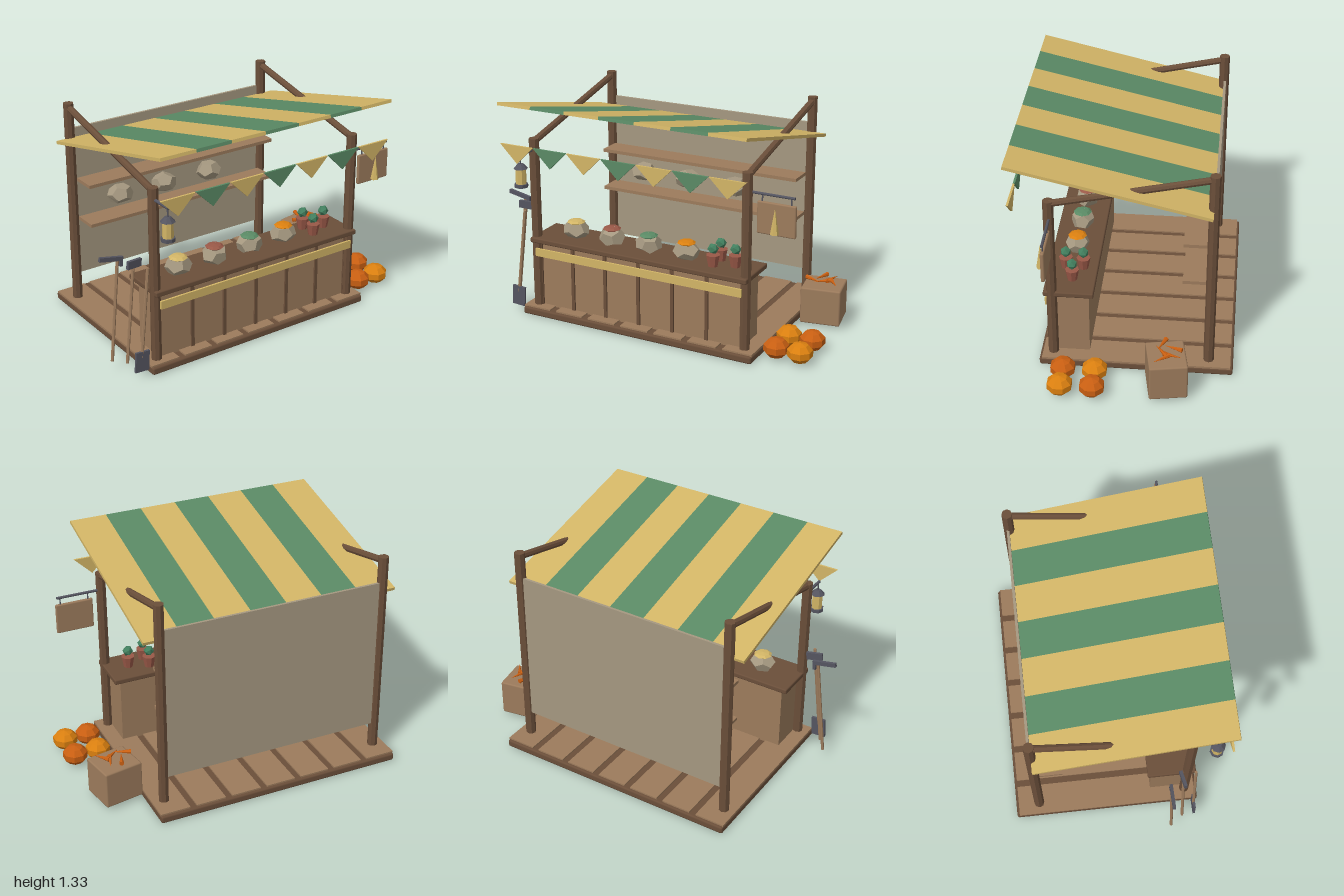
import * as THREE from 'three';
import { RoundedBoxGeometry } from 'three/addons/geometries/RoundedBoxGeometry.js';

export function createModel() {
  const model = new THREE.Group();
  model.name = 'marketStall';

  const paint = (name, color) => {
    const m = new THREE.MeshStandardMaterial({ color });
    m.name = name;
    return m;
  };
  const darkWood = paint('dark wood', 0x6b4f3a);
  const plankWood = paint('plank wood', 0x9c7b5c);
  const canvas = paint('canvas', 0xa59880);
  const yellow = paint('yellow cloth', 0xd2b566);
  const green = paint('green cloth', 0x5a8a65);
  const iron = paint('iron', 0x555560);
  const orange = paint('orange', 0xdb8010);
  const rust = paint('deep orange', 0xc95f12);
  const clay = paint('terracotta', 0x995847);
  const leaf = paint('leaf green', 0x43805f);

  // Helpers
  const add = (name, geo, mat, x = 0, y = 0, z = 0) => {
    const m = new THREE.Mesh(geo, mat);
    m.name = name;
    m.position.set(x, y, z);
    model.add(m);
    return m;
  };
  const box = (name, mat, w, h, d, x, y, z) => add(name, new THREE.BoxGeometry(w, h, d), mat, x, y, z);
  const roundBox = (name, mat, w, h, d, r, x, y, z) =>
    add(name, new RoundedBoxGeometry(w, h, d, 1, r), mat, x, y, z);
  const flat = (geo) => {
    const g = geo.index ? geo.toNonIndexed() : geo;
    g.computeVertexNormals();
    return g;
  };
  const rod = (name, mat, r, a, b, sides = 8, rTop = r) => {
    const p = new THREE.Vector3(...a), q = new THREE.Vector3(...b);
    const dir = q.clone().sub(p);
    const m = add(name, flat(new THREE.CylinderGeometry(rTop, r, dir.length(), sides)), mat);
    m.position.copy(p).add(q).multiplyScalar(0.5);
    m.quaternion.setFromUnitVectors(new THREE.Vector3(0, 1, 0), dir.normalize());
    return m;
  };

  const CX = -0.056;     // middle of the stall
  const PITCH = 0.2182;  // spacing of planks, stripes and flags

  // Floor
  roundBox('base', darkWood, 1.49, 0.045, 1.1, 0.012, CX, 0.0225, -0.07);
  for (let i = -3; i <= 3; i++)
    box('floorPlank', plankWood, 0.178, 0.012, 1.07, CX + i * PITCH, 0.048, -0.07);

  // Posts and rafters
  for (const x of [-0.732, 0.618]) {
    rod('backPost', darkWood, 0.03, [x, 0.03, -0.48], [x, 1.285, -0.48]);
    rod('frontPost', darkWood, 0.03, [x, 0.03, 0.405], [x, 1.08, 0.405]);
    rod('rafter', darkWood, 0.02, [x, 1.06, 0.405], [x, 1.26, -0.48]);
  }

  // Back cloth and shelves
  box('backCloth', canvas, 1.31, 0.92, 0.015, CX, 0.67, -0.486);
  for (const y of [0.57, 0.815])
    box('shelf', plankWood, 1.3, 0.02, 0.145, CX, y, -0.393);

  // Striped awning and hanging flags
  const flagShape = new THREE.Shape([
    new THREE.Vector2(-0.107, 0), new THREE.Vector2(0, -0.105), new THREE.Vector2(0.107, 0)]);
  const flagGeo = new THREE.ExtrudeGeometry(flagShape, { depth: 0.012, bevelEnabled: false });
  for (let i = -3; i <= 3; i++) {
    const cloth = i % 2 ? yellow : green;
    const x = CX + i * PITCH;
    box('awningStripe', cloth, PITCH, 0.018, 1.13, x, 1.195, 0.073).rotation.x = -0.231;
    add('flag', flagGeo, cloth, x, 1.092, 0.601);
  }

  // Counter
  box('counterBody', plankWood, 1.31, 0.41, 0.2, CX, 0.25, 0.3);
  for (let i = -3; i <= 3; i++)
    box('counterBatten', darkWood, 0.02, 0.4, 0.012, CX + i * PITCH, 0.25, 0.404);
  roundBox('counterTop', darkWood, 1.395, 0.032, 0.282, 0.008, CX, 0.469, 0.311);
  box('counterBand', yellow, 1.33, 0.048, 0.012, CX, 0.396, 0.441);

  // Sacks: faceted lumps with a flat base
  const sackGeo = (turn) => {
    const g = new THREE.DodecahedronGeometry(0.082, 0);
    g.rotateX(0.5 + turn).rotateY(turn * 2.3).scale(1, 0.8, 0.85);
    const p = g.attributes.position;
    for (let i = 0; i < p.count; i++) p.setY(i, Math.max(p.getY(i), -0.045));
    return flat(g);
  };
  [-0.46, -0.155, 0.17].forEach((x, i) =>
    add('shelfSack', sackGeo(i * 0.9 + 0.3), canvas, x, 0.686, -0.4));
  const lidGeo = flat(new THREE.SphereGeometry(0.054, 8, 4).scale(1, 0.28, 1));
  [yellow, clay, green, orange].forEach((mat, i) => {
    const x = -0.52 + i * 0.242;
    add('counterSack', sackGeo(i * 0.7 + 0.2), canvas, x, 0.526, 0.31);
    add('sackFilling', lidGeo, mat, x, 0.576, 0.31);
  });

  // Potted plants
  for (const [x, z] of [[0.393, 0.353], [0.393, 0.253], [0.507, 0.303]]) {
    rod('plantPot', clay, 0.027, [x, 0.483, z], [x, 0.553, z], 8, 0.04);
    add('plant', new THREE.IcosahedronGeometry(0.032, 0), leaf, x, 0.588, z);
  }

  // Lantern on a bracket
  const lx = -0.733, lz = 0.546;
  rod('lanternArm', iron, 0.009, [lx, 1.015, 0.4], [lx, 1.015, 0.555]);
  rod('lanternHook', iron, 0.004, [lx, 1.015, lz], [lx, 0.96, lz], 6);
  rod('lanternRoof', iron, 0.042, [lx, 0.938, lz], [lx, 0.965, lz], 8, 0.018);
  rod('lanternGlass', yellow, 0.031, [lx, 0.848, lz], [lx, 0.938, lz]);
  rod('lanternBase', iron, 0.04, [lx, 0.828, lz], [lx, 0.848, lz]);

  // Hanging sign
  rod('signArm', iron, 0.008, [0.63, 0.972, 0.4], [0.89, 0.972, 0.4]);
  for (const x of [0.703, 0.87])
    rod('signHanger', iron, 0.004, [x, 0.972, 0.4], [x, 0.92, 0.4], 6);
  roundBox('signBoard', plankWood, 0.225, 0.182, 0.022, 0.008, 0.788, 0.84, 0.4);
  rod('signCone', yellow, 0.024, [0.788, 0.765, 0.427], [0.788, 0.905, 0.427], 6, 0.001);

  // Garden tools leaning at the side
  rod('rakeHandle', plankWood, 0.009, [-0.953, 0.06, 0.3], [-0.888, 0.665, 0.283], 6);
  rod('hoeHandle', plankWood, 0.009, [-0.9, 0.065, 0.372], [-0.835, 0.65, 0.358], 6);
  rod('shovelHandle', plankWood, 0.009, [-0.85, 0.12, 0.445], [-0.793, 0.64, 0.435], 6);
  box('rakeHead', iron, 0.145, 0.024, 0.018, -0.928, 0.67, 0.283).rotation.z = -0.2;
  box('rakeTine', iron, 0.018, 0.055, 0.018, -0.868, 0.64, 0.283);
  box('hoeHead', iron, 0.095, 0.045, 0.018, -0.83, 0.645, 0.357).rotation.set(0, 0.2, -0.08);
  box('shovelBlade', iron, 0.085, 0.12, 0.014, -0.85, 0.095, 0.446).rotation.z = -0.06;

  // Crate with carrots
  roundBox('crate', plankWood, 0.235, 0.22, 0.215, 0.01, 0.82, 0.13, -0.253).rotation.y = 0.175;
  const carrots = [
    [0.76, -0.225, 0.4], [0.79, -0.29, 1.9], [0.82, -0.225, 2.5], [0.855, -0.285, -1.3], [0.885, -0.23, 0.9]];
  carrots.forEach(([x, z, a]) => {
    const dx = Math.cos(a) * 0.05, dz = Math.sin(a) * 0.05;
    rod('carrot', rust, 0.014, [x - dx, 0.264, z - dz], [x + dx, 0.264, z + dz], 6, 0.001);
  });

  // Pumpkins
  const pumpkinGeo = flat(new THREE.SphereGeometry(0.076, 8, 5).scale(1, 0.78, 1));
  [0.777, 0.918].forEach((x, i) => [0.152, 0.332].forEach((z, j) => {
    add('pumpkin', pumpkinGeo, i === j ? orange : rust, x, 0.066, z).rotation.y = Math.PI / 8;
  }));

  return model;
}
